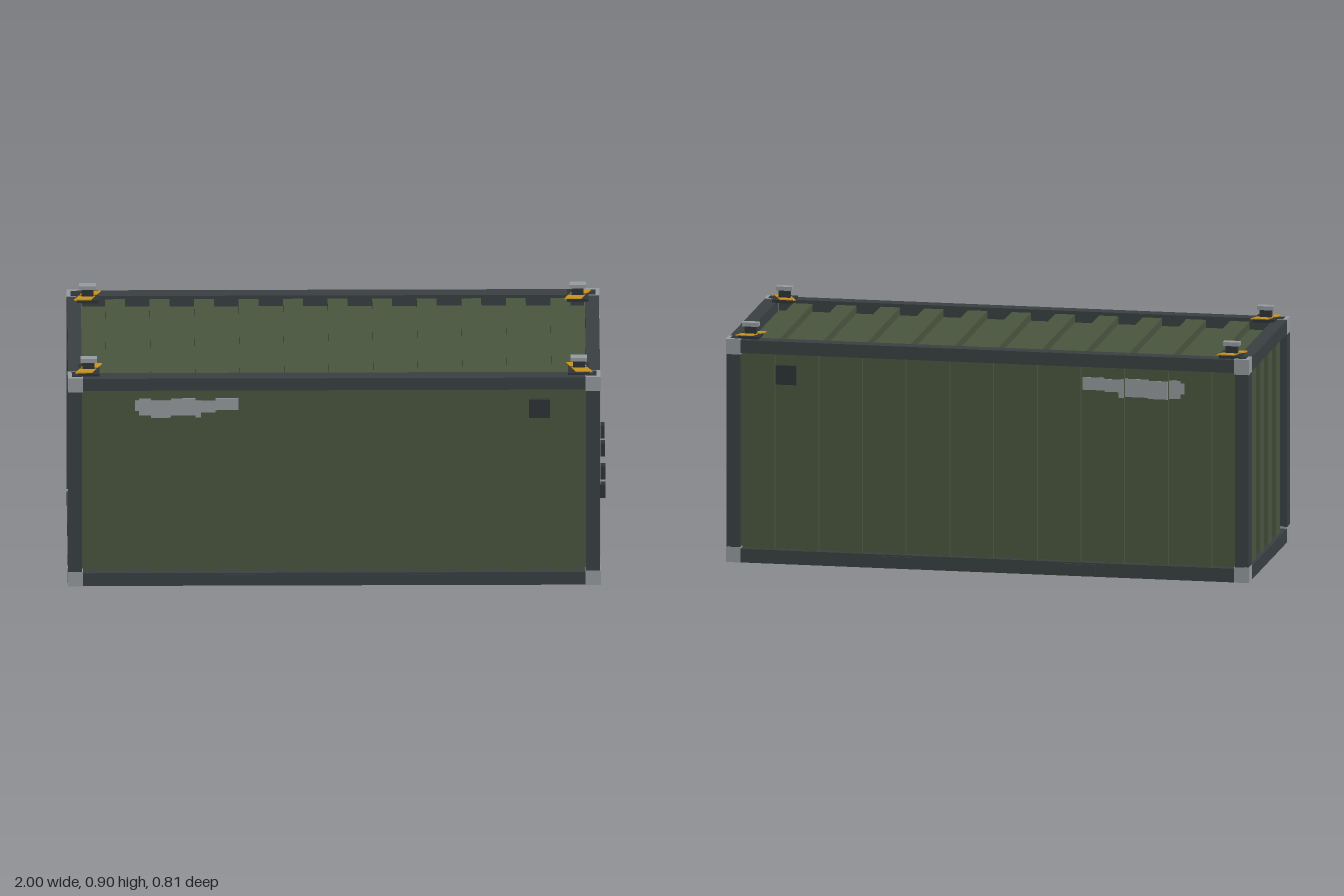
import * as THREE from 'three';

const mat = (name, color) => Object.assign(new THREE.MeshStandardMaterial({ color }), { name });

export function createModel() {
  const green = mat('olive green', 0x4b5740);
  const slate = mat('frame slate', 0x3a4143);
  const dark = mat('dark fittings', 0x2f3538);
  const silver = mat('light grey', 0x989da1);
  const yellow = mat('hazard yellow', 0xc8941e);

  const root = new THREE.Group();
  root.name = 'shippingContainer';

  // Box given by its minimum and maximum on each axis
  function box(name, material, x0, x1, y0, y1, z0, z1) {
    const mesh = new THREE.Mesh(new THREE.BoxGeometry(x1 - x0, y1 - y0, z1 - z0), material);
    mesh.position.set((x0 + x1) / 2, (y0 + y1) / 2, (z0 + z1) / 2);
    mesh.name = name;
    root.add(mesh);
  }
  // Same box, placed on either side of z = 0
  function sideBox(name, material, s, x0, x1, y0, y1, z0, z1) {
    box(name, material, x0, x1, y0, y1, Math.min(s * z0, s * z1), Math.max(s * z0, s * z1));
  }

  const L = -1, R = 0.98, W = 0.4, H = 0.845, T = 0.053;

  // Frame: long rails, end rails and corner posts
  for (const s of [1, -1]) {
    sideBox('bottomSideRail', slate, s, L + T, R - T, 0, 0.052, W - T, W - 0.001);
    sideBox('topSideRail', slate, s, L + T, R - T, 0.796, H, W - T, W - 0.001);
    for (const x of [L + 0.001, R - T]) {
      sideBox('cornerPost', slate, s, x, x + T - 0.001, 0.05, 0.795, W - T, W - 0.001);
    }
  }
  for (const x of [L + 0.001, R - T]) {
    box('bottomEndRail', slate, x, x + T - 0.001, 0, 0.052, -W + T, W - T);
    box('topEndRail', slate, x, x + T - 0.001, 0.792, H, -W + T, W - T);
  }

  // Corner castings with a dark opening on top
  for (const s of [1, -1]) for (const [x0, e] of [[L, 1], [R - 0.055, -1]]) {
    for (const y of [0, 0.79]) sideBox('cornerCasting', silver, s, x0, x0 + 0.056, y, y + 0.058, 0.34, W + 0.001);
    const cx = x0 + 0.028 + e * 0.007;
    sideBox('castingOpening', dark, s, cx - 0.02, cx + 0.02, 0.846, 0.849, 0.343, 0.386);
  }

  // Floor, walls and roof
  const ribs = Array.from({ length: 11 }, (_, i) => 0.008 + (i - 5) * 0.1655);
  const half = 0.037, wallZ = 0.368, ribZ = 0.388;
  box('floor', green, L + T, R - T, 0.035, 0.05, -W + T, W - T);
  box('roofPanel', green, L + T, R - T, 0.78, 0.802, -W + T, W - T);
  for (const x of ribs) box('roofRib', green, x - half, x + half, 0.8, 0.832, -W + T, W - T);
  for (const s of [1, -1]) {
    sideBox('sideWall', green, s, L + T, R - T, 0.05, 0.797, 0.34, wallZ);
    for (const x of ribs) sideBox('sideRib', green, s, x - half, x + half, 0.052, 0.796, wallZ - 0.005, ribZ);
  }
  box('endWall', green, -0.967, -0.945, 0.05, 0.795, -W + T, W - T);
  for (let i = 0; i < 4; i++) {
    const z = (i - 1.5) * 0.155;
    box('endRib', green, -0.987, -0.96, 0.052, 0.792, z - half, z + half);
  }

  // Worn paint patch following the ribs of each side wall
  const onRib = (x) => ribs.some((r) => Math.abs(x - r) < half);
  const cuts = [-0.75, -0.735, -0.505, -0.365];
  for (const r of ribs) for (const x of [r - half, r + half]) if (x > -0.75 && x < -0.365) cuts.push(x);
  cuts.sort((a, b) => a - b);
  for (const s of [1, -1]) for (let i = 0; i + 1 < cuts.length; i++) {
    const mid = (cuts[i] + cuts[i + 1]) / 2;
    const z = onRib(mid) ? ribZ : wallZ;
    const low = mid < -0.735 ? 0.7 : mid < -0.505 ? 0.682 : 0.703;
    sideBox('paintPatch', silver, s, cuts[i], cuts[i + 1], low, mid < -0.735 ? 0.742 : 0.751, z - 0.001, z + 0.003);
  }

  // Data plate and fork pockets on each side
  for (const s of [1, -1]) {
    sideBox('dataPlate', dark, s, 0.715, 0.793, 0.682, 0.755, 0.388, W + 0.002);
    for (const x of [-0.36, 0.33]) sideBox('forkPocket', slate, s, x - 0.06, x + 0.06, 0.01, 0.046, 0.37, W + 0.004);
  }

  // Double doors with locking bars and handles
  box('doorBacking', green, 0.935, 0.95, 0.05, 0.795, -W + T, W - T);
  for (const s of [1, -1]) {
    sideBox('door', green, s, 0.945, 0.96, 0.06, 0.79, 0.012, 0.345);
    for (const z of [0.105, 0.268]) {
      sideBox('lockingBar', silver, s, 0.964, 0.98, 0.06, 0.79, z - 0.008, z + 0.008);
      sideBox('lockHandle', dark, s, 0.979, 1, 0.302, 0.355, z - 0.016, z + 0.016);
    }
  }
  // Worn paint patch on the door
  box('doorPatch', silver, 0.959, 0.963, 0.706, 0.75, 0.182, 0.345);
  box('doorPatchTip', silver, 0.959, 0.963, 0.713, 0.744, 0.175, 0.182);
  box('doorPatchLower', silver, 0.959, 0.963, 0.682, 0.706, 0.28, 0.345);

  // Twist locks on hazard plates above each corner
  const stripe = (z0, z1, lean) => new THREE.Shape([
    new THREE.Vector2(-0.031 + lean * z0, z0), new THREE.Vector2(0.031 + lean * z0, z0),
    new THREE.Vector2(0.031 + lean * z1, z1), new THREE.Vector2(-0.031 + lean * z1, z1),
  ]);
  for (const s of [1, -1]) for (const x of [-0.922, 0.9]) {
    const z = 0.328;
    const lean = x > 0 && s > 0 ? -0.45 : 0.45;
    sideBox('lockBase', dark, s, x - 0.04, x + 0.04, 0.843, 0.855, z - 0.042, z + 0.05);
    for (const [a, b] of [[-0.042, -0.006], [0.006, 0.042]]) {
      const geo = new THREE.ExtrudeGeometry(stripe(a, b, lean), { depth: 0.005, bevelEnabled: false });
      const mark = new THREE.Mesh(geo, yellow);
      mark.name = 'hazardStripe';
      mark.rotation.x = -Math.PI / 2;
      mark.position.set(x, 0.853, s * z);
      root.add(mark);
    }
    sideBox('lockStem', dark, s, x - 0.022, x + 0.022, 0.85, 0.888, z - 0.011, z + 0.011);
    sideBox('lockHead', silver, s, x - 0.031, x + 0.031, 0.885, 0.9, z - 0.015, z + 0.015);
  }
  return root;
}
